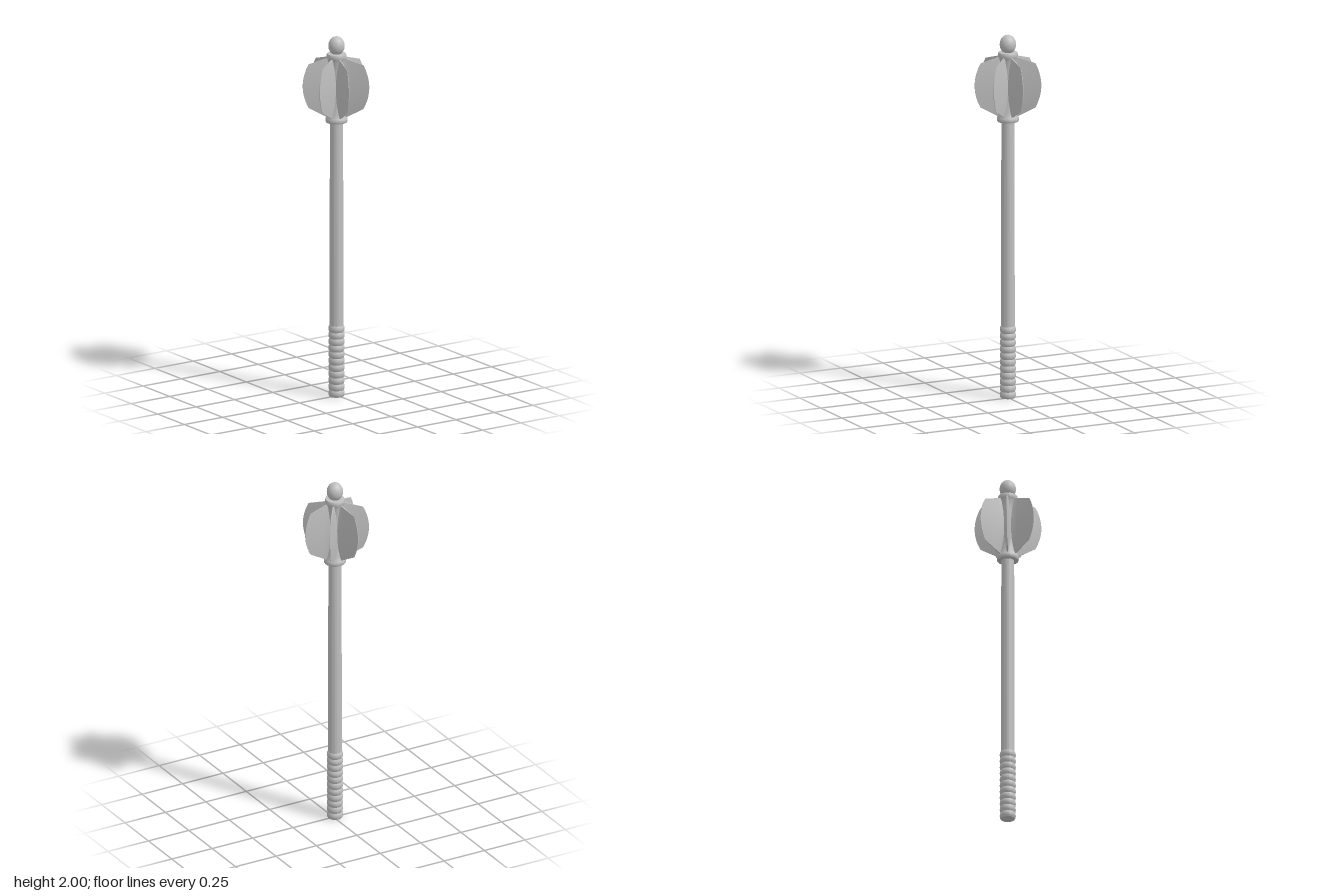
import * as THREE from 'three';
import { toCreasedNormals } from 'three/addons/utils/BufferGeometryUtils.js';

const steel = new THREE.MeshStandardMaterial({ color: 0xc0c0c0 });
steel.name = 'steel';

// Turned part from [radius, height] pairs, bottom to top
function turned(name, profile) {
  const points = profile.map(([r, y]) => new THREE.Vector2(r, y));
  const mesh = new THREE.Mesh(toCreasedNormals(new THREE.LatheGeometry(points, 40), 0.6), steel);
  mesh.name = name;
  return mesh;
}

// Wedge flange lying along +x: lens-shaped root, thin bulging outer edge
function flangeGeometry() {
  const rows = 16;
  const root = 0.03;
  // [fraction outwards, half thickness, bottom y, top y]
  const columns = [
    [0, 0.021, 1.545, 1.888],
    [0.14, 0.014, 1.552, 1.882],
    [0.28, 0.0105, 1.56, 1.877],
    [1, 0.0018, 1.608, 1.852],
  ];
  const loop = [
    ...columns.map((c) => [...c, 1]),
    ...[...columns].reverse().map((c) => [...c, -1]),
  ];
  const n = loop.length;
  const positions = [];
  const index = [];
  for (let j = 0; j <= rows; j++) {
    const s = (j / rows) * 2 - 1;
    const bulge = 1 - s * s;
    const outer = 0.151 + 0.032 * bulge;
    for (const [f, t, y0, y1, side] of loop) {
      positions.push(
        root + f * (outer - root),
        y0 + ((y1 - y0) * j) / rows,
        side * t * (0.3 + 0.7 * bulge),
      );
    }
  }
  for (let j = 0; j < rows; j++) {
    for (let i = 0; i < n; i++) {
      const a = j * n + i;
      const b = j * n + ((i + 1) % n);
      index.push(a, b, b + n, a, b + n, a + n);
    }
  }
  // Close the bottom and top
  const last = rows * n;
  for (let i = 0; i < n / 2 - 1; i++) {
    const k = n - 1 - i;
    index.push(i, k, k - 1, i, k - 1, i + 1);
    index.push(last + i, last + i + 1, last + k - 1, last + i, last + k - 1, last + k);
  }
  const geometry = new THREE.BufferGeometry();
  geometry.setAttribute('position', new THREE.Float32BufferAttribute(positions, 3));
  geometry.setIndex(index);
  return toCreasedNormals(geometry, 0.4);
}

export function createModel() {
  const mace = new THREE.Group();
  mace.name = 'flangedMace';

  // Ribbed grip
  const ribs = 11;
  const pitch = 0.395 / ribs;
  const grip = [[0, 0]];
  for (let i = 0; i < ribs; i++) {
    const y = i * pitch;
    grip.push(
      [0.038, y],
      [0.042, y + pitch * 0.2],
      [0.0435, y + pitch * 0.5],
      [0.042, y + pitch * 0.8],
      [0.038, y + pitch],
    );
  }
  grip.push([0.03, ribs * pitch]);
  mace.add(turned('grip', grip));

  // Shaft
  mace.add(turned('shaft', [[0.037, 0.39], [0.0365, 1.15], [0.034, 1.54]]));

  // Hub with a collar at each end
  mace.add(turned('hub', [
    [0.03, 1.525], [0.056, 1.525], [0.059, 1.53], [0.059, 1.545], [0.055, 1.552],
    [0.048, 1.575], [0.043, 1.63], [0.042, 1.73], [0.043, 1.81], [0.047, 1.868],
    [0.051, 1.879], [0.053, 1.884], [0.053, 1.9], [0.05, 1.906], [0, 1.908],
  ]));

  // Rounded finial
  const finial = new THREE.Mesh(new THREE.SphereGeometry(0.044, 32, 20), steel);
  finial.name = 'finial';
  finial.scale.y = 0.052 / 0.044;
  finial.position.y = 1.948;
  mace.add(finial);

  // Seven flanges around the hub
  const flanges = new THREE.Group();
  flanges.name = 'flanges';
  const geometry = flangeGeometry();
  for (let i = 0; i < 7; i++) {
    const flange = new THREE.Mesh(geometry, steel);
    flange.name = 'flange' + (i + 1);
    flange.rotation.y = (i * Math.PI * 2) / 7;
    flanges.add(flange);
  }
  mace.add(flanges);

  // The odd flange count puts the axis slightly off centre
  mace.position.x = -0.009;
  const model = new THREE.Group();
  model.name = 'mace';
  model.add(mace);
  return model;
}
